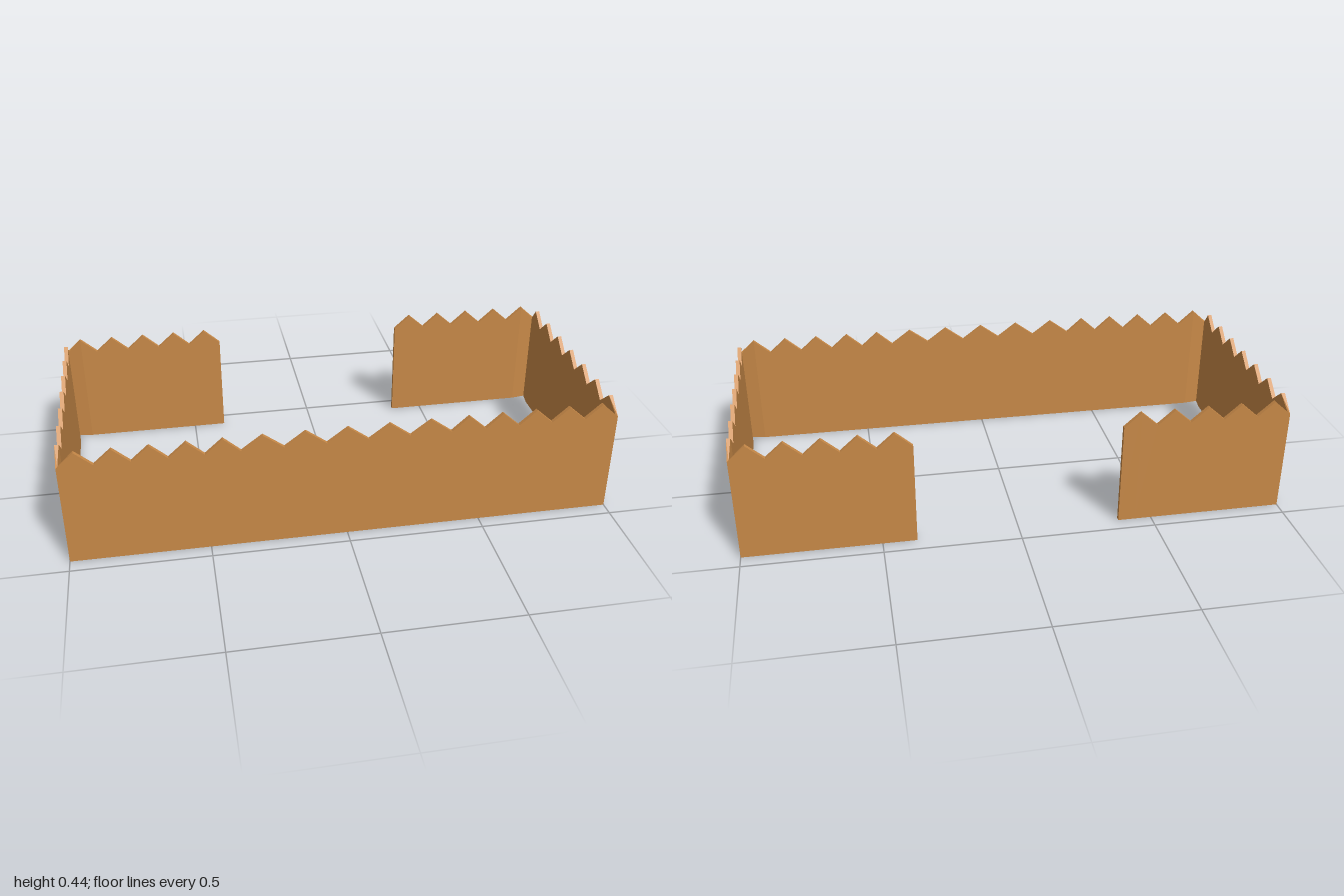
import * as THREE from 'three';

const HALF_X = 1, HALF_Z = 0.445, GATE = 0.375;
const THICK = 0.015, CORNER = 0.006; // walls thin slightly towards the corners
const VALLEY = 0.39, PEAK = 0.445;

// Splits a length into teeth and returns the half-tooth distances.
function teeth(start, length, count) {
  return Array.from({ length: count * 2 }, (_, i) => start + (length * (i + 1)) / (count * 2));
}

// Lofts a saw-toothed wall along [x, z] from a, in direction t, with cross-sections at the given distances.
function wall(name, a, t, distances, startCorner, endCorner, material) {
  const n = [t[1], -t[0]]; // inward
  const stations = [0, ...distances];
  const last = stations.length - 1;
  const sections = stations.map((u, i) => {
    const corner = (i === 0 && startCorner) || (i === last && endCorner);
    const depth = corner ? CORNER : THICK;
    const along = corner ? (i === 0 ? CORNER : -CORNER) : 0;
    const top = i % 2 ? PEAK : VALLEY;
    const point = (s, d, y) => [a[0] + t[0] * s + n[0] * d, y, a[1] + t[1] * s + n[1] * d];
    return [point(u, 0, 0), point(u, 0, top), point(u + along, depth, top), point(u + along, depth, 0)];
  });
  const pos = [];
  const quad = (p, q, r, s) => pos.push(...p, ...q, ...r, ...p, ...r, ...s);
  for (let i = 0; i < last; i++) {
    const A = sections[i], B = sections[i + 1];
    for (let k = 0; k < 4; k++) {
      const m = (k + 1) % 4;
      quad(A[k], B[k], B[m], A[m]);
    }
  }
  // Free ends beside the opening
  if (!startCorner) quad(...sections[0]);
  if (!endCorner) quad(...sections[last].slice().reverse());

  const geometry = new THREE.BufferGeometry();
  geometry.setAttribute('position', new THREE.Float32BufferAttribute(pos, 3));
  geometry.computeVertexNormals();
  const mesh = new THREE.Mesh(geometry, material);
  mesh.name = name;
  return mesh;
}

export function createModel() {
  const group = new THREE.Group();
  group.name = 'palisade';
  const wood = new THREE.MeshStandardMaterial({ color: 0xc98a48 });
  wood.name = 'wood';

  const wing = HALF_X - GATE;
  const frontTeeth = [
    ...teeth(0, wing, 5),
    ...teeth(wing, GATE * 2, 5),
    ...teeth(wing + GATE * 2, wing, 5),
  ];
  const sideTeeth = teeth(0, HALF_Z * 2, 7);
  const backTeeth = teeth(0, wing, 5);

  group.add(
    wall('frontWall', [-HALF_X, HALF_Z], [1, 0], frontTeeth, true, true, wood),
    wall('leftWall', [HALF_X, HALF_Z], [0, -1], sideTeeth, true, true, wood),
    wall('rightWall', [-HALF_X, -HALF_Z], [0, 1], sideTeeth, true, true, wood),
    wall('backLeftWall', [HALF_X, -HALF_Z], [-1, 0], backTeeth, true, false, wood),
    wall('backRightWall', [-GATE, -HALF_Z], [-1, 0], backTeeth, false, true, wood),
  );
  return group;
}
